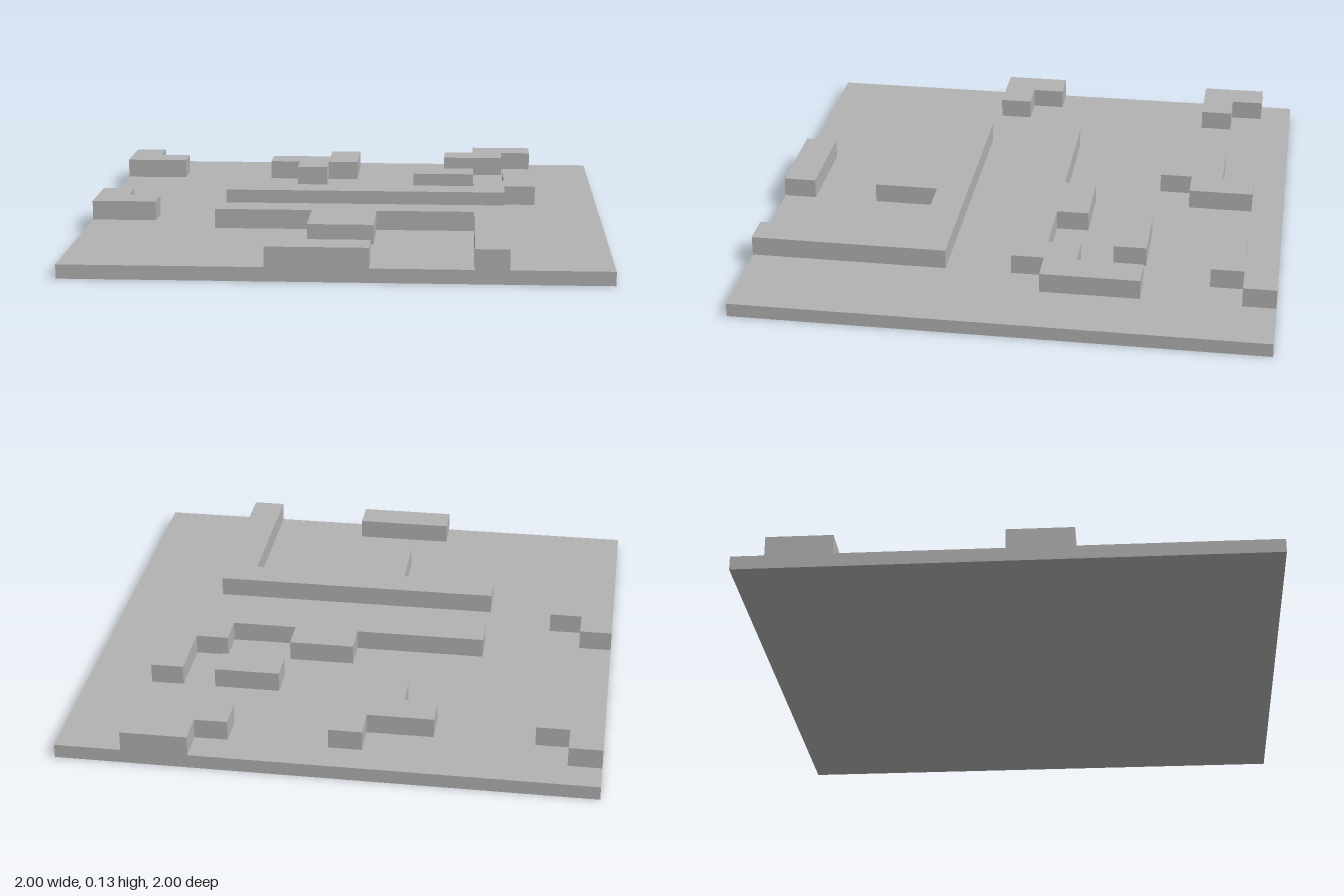
import * as THREE from 'three';

const CELL = 0.125;      // the plan follows a 16 x 16 grid
const BASE_TOP = 0.0525;
const WALL_TOP = 0.128;
const PIT_FLOOR = 0.025;

// Plan outlines in grid cells, as [x, z] corners
const rect = (x0, z0, x1, z1) => [[x0, z0], [x1, z0], [x1, z1], [x0, z1]];
const walls = {
  backRightBlock: [[-8, -7], [-7, -7], [-7, -6], [-6, -6], [-6, -5], [-8, -5]],
  backCentreBlock: [[-1, -7], [0, -7], [0, -5], [-1, -5], [-1, -4], [-2, -4], [-2, -5], [-3, -5], [-3, -6], [-1, -6]],
  backLeftBlock: [[4, -8], [6, -8], [6, -7], [5, -7], [5, -6], [3, -6], [3, -7], [4, -7]],
  smallBlock: rect(2, -4, 4, -3),
  backWall: [[-4, -1], [0, -1], [0, -2], [2, -2], [2, -1], [4, -1], [4, -2], [5, -2], [5, -4], [6, -4], [6, -1], [5, -1], [5, 0], [-4, 0]],
  rightEdgeBlock: [[-8, 0], [-7, 0], [-7, 1], [-6, 1], [-6, 2], [-8, 2]],
  frontWall: [[-4, 2], [5, 2], [5, 8], [4, 8], [4, 3], [1, 3], [1, 5], [-1, 5], [-1, 3], [-4, 3]],
  frontEdgeBlock: rect(-2, 7, 1, 8),
};
const pit = rect(-1, 0, 4, 2);
const ground = rect(-8, -8, 8, 8);

// Extrudes a plan outline upwards from y0 to y1
function slab(name, outline, y0, y1, material, hole) {
  const points = (list) => list.map(([x, z]) => new THREE.Vector2(x * CELL, -z * CELL));
  const shape = new THREE.Shape(points(outline));
  if (hole) shape.holes.push(new THREE.Path(points(hole)));
  const geometry = new THREE.ExtrudeGeometry(shape, { depth: y1 - y0, bevelEnabled: false });
  geometry.rotateX(-Math.PI / 2);
  geometry.translate(0, y0, 0);
  const mesh = new THREE.Mesh(geometry, material);
  mesh.name = name;
  return mesh;
}

export function createModel() {
  const group = new THREE.Group();
  group.name = 'terrainTile';
  const grey = new THREE.MeshStandardMaterial({ color: 0xb2b2b2 });
  grey.name = 'grey';

  // Ground plate with a sunken channel between the two long walls
  group.add(slab('groundBottom', ground, 0, PIT_FLOOR, grey));
  group.add(slab('groundTop', ground, PIT_FLOOR, BASE_TOP, grey, pit));

  // Raised walls and blocks
  for (const [name, outline] of Object.entries(walls)) {
    group.add(slab(name, outline, BASE_TOP, WALL_TOP, grey));
  }
  return group;
}
